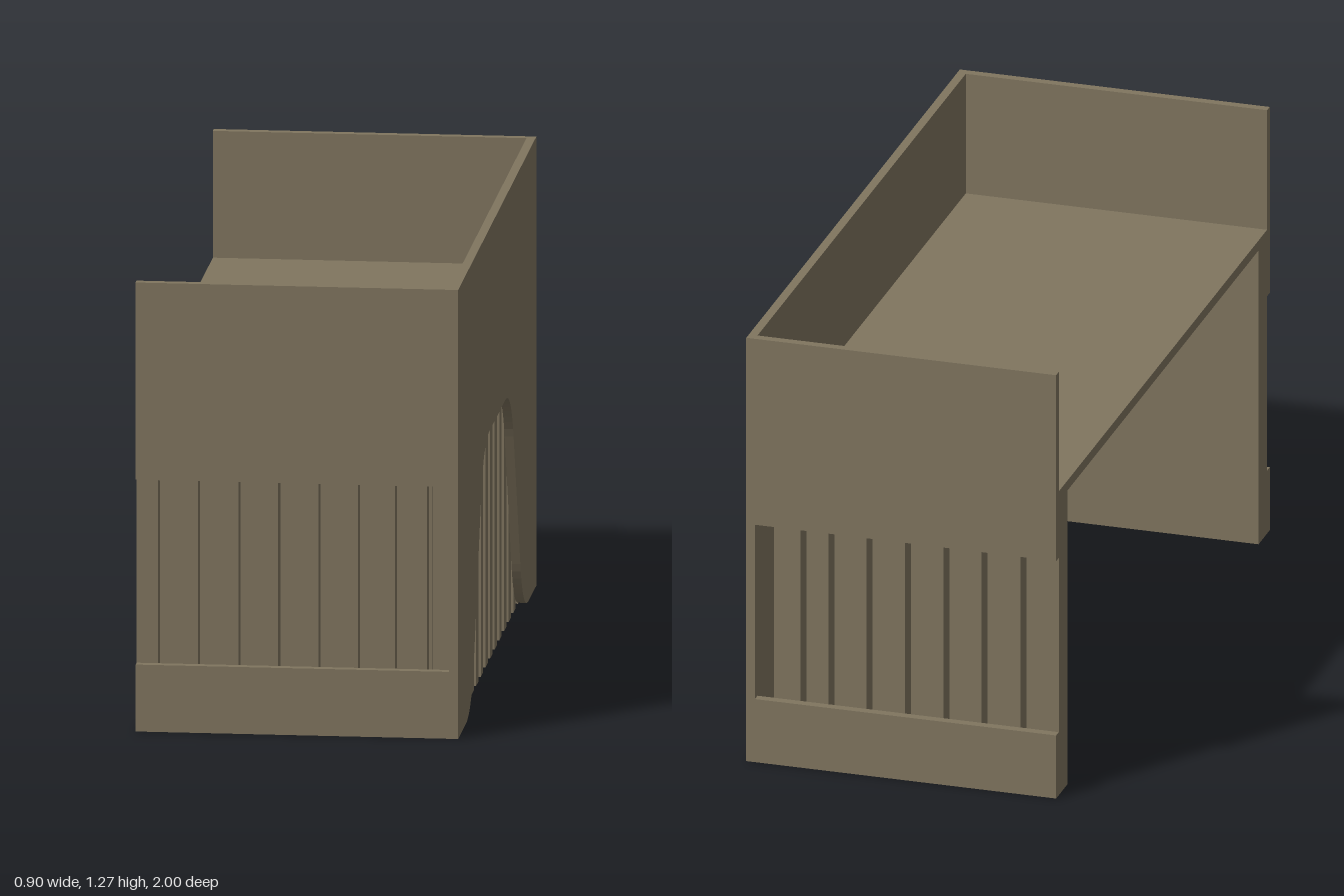
import * as THREE from 'three';

const W = 0.45, L = 1, H = 1.275;      // half width, half length, height
const T = 0.025;                       // board thickness
const DESK = 0.915;                    // worktop surface height
const UNDER = DESK - T - 0.005;        // underside of the worktop
const CORE = 0.055;                    // depth of the slats between two boards

export function createModel() {
  const model = new THREE.Group();
  model.name = 'receptionCounter';
  const board = new THREE.MeshStandardMaterial({ color: 0x80755f });
  board.name = 'taupe board';

  // Box given by its minimum and maximum corners
  function box(name, parent, x0, x1, y0, y1, z0, z1) {
    const mesh = new THREE.Mesh(new THREE.BoxGeometry(x1 - x0, y1 - y0, z1 - z0), board);
    mesh.position.set((x0 + x1) / 2, (y0 + y1) / 2, (z0 + z1) / 2);
    mesh.name = name;
    parent.add(mesh);
  }

  // Long outer board with a bell-shaped cutout
  const s = new THREE.Shape();
  s.moveTo(-L, 0);
  s.lineTo(-0.8, 0);
  s.quadraticCurveTo(-0.655, 0, -0.59, 0.15);
  s.lineTo(-0.417, 0.55);
  s.quadraticCurveTo(-0.352, 0.7, -0.2, 0.7);
  s.lineTo(0.2, 0.7);
  s.quadraticCurveTo(0.352, 0.7, 0.417, 0.55);
  s.lineTo(0.59, 0.15);
  s.quadraticCurveTo(0.655, 0, 0.8, 0);
  s.lineTo(L, 0);
  s.lineTo(L, H);
  s.lineTo(-L, H);
  const archGeo = new THREE.ExtrudeGeometry(s, { depth: T, bevelEnabled: false, curveSegments: 12 });
  archGeo.rotateY(Math.PI / 2);
  const arch = new THREE.Mesh(archGeo, board);
  arch.position.x = W - T;
  arch.name = 'archedOuterPanel';
  model.add(arch);

  // Slats and inner board behind the long panel
  const side = new THREE.Group();
  side.name = 'longSideCore';
  model.add(side);
  const xi = W - T - CORE;
  for (let i = -7; i <= 7; i++) {
    const z = 0.014 + i * 0.119;
    box('sideSlat', side, xi, W - T, 0, UNDER, z, z + 0.06);
  }
  const zi = L - T - CORE;
  box('sideInnerPanel', side, xi - T, xi, 0, UNDER, -zi, zi);

  // Two matching ends: upper board, foot board, slats and inner board
  const slatStarts = [-0.45, -0.339, -0.226, -0.115, -0.003, 0.108, 0.219, 0.3];
  for (const dir of [1, -1]) {
    const end = new THREE.Group();
    end.name = dir > 0 ? 'frontEnd' : 'backEnd';
    model.add(end);
    const slab = (name, x0, x1, y0, y1, a, b) =>
      box(name, end, x0, x1, y0, y1, Math.min(a * dir, b * dir), Math.max(a * dir, b * dir));
    slab('upperEndPanel', -W, W - T, 0.715, H, L - T, L);
    slab('footPanel', -W, W - T, 0, 0.19, L - T, L);
    slatStarts.forEach((x, i) =>
      slab('endSlat', x, x + (i === 6 ? 0.052 : 0.06), 0, UNDER, zi, L - T));
    slab('endInnerPanel', -W, xi, 0, UNDER, zi - T, zi);
  }

  // Worktop
  box('worktop', model, -W, W - T, UNDER, DESK, -L + T, L - T);
  return model;
}
